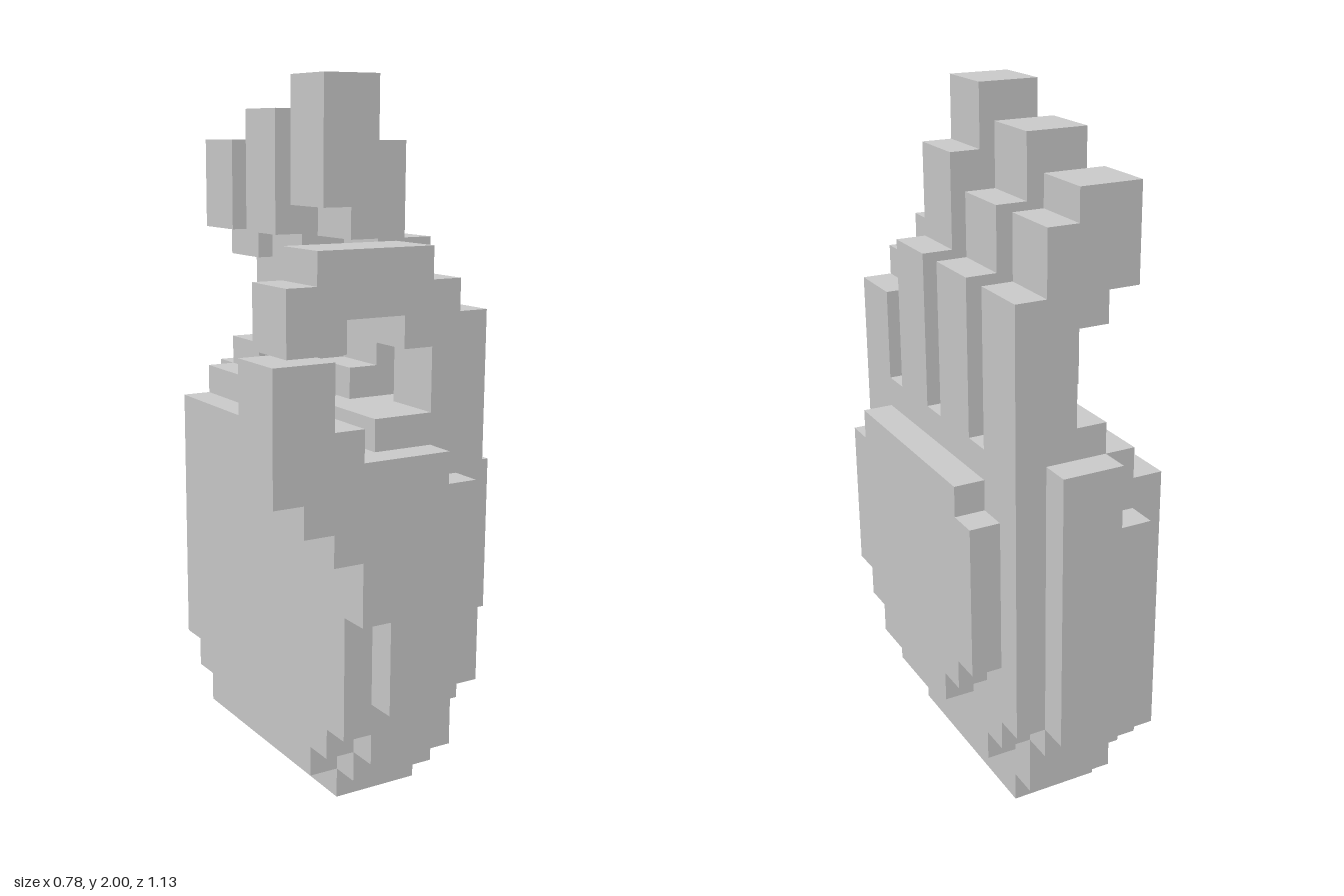
import * as THREE from 'three';

// Whole hand is laid out on a block grid: 9 wide, 23 high, 13 deep
const U = 2 / 23;
const material = new THREE.MeshStandardMaterial({ color: 0xcccccc, flatShading: true });

// Each row is [x0, x1, y0, y1, z0, z1] in grid units
function part(name, rows) {
  const group = new THREE.Group();
  group.name = name;
  rows.forEach(([x0, x1, y0, y1, z0, z1], i) => {
    const mesh = new THREE.Mesh(
      new THREE.BoxGeometry((x1 - x0) * U, (y1 - y0) * U, (z1 - z0) * U), material);
    mesh.position.set(((x0 + x1) / 2 - 4.5) * U, (y0 + y1) / 2 * U, ((z0 + z1) / 2 - 6.5) * U);
    mesh.name = `${name}Block${i + 1}`;
    group.add(mesh);
  });
  return group;
}

// Straight finger, two blocks deep, curling forward at the tip
function finger(name, z, top, knuckle, tipBottom) {
  return part(name, [
    [7, 8, 13, 18, z, z + 2],
    [6, 7, 13, knuckle, z, z + 2],
    [5, 6, tipBottom - 1, top, z, z + 2],
    [4, 5, tipBottom, top, z, z + 2],
    [5, 6, 13, 14, z, z + 2], // pad at the root
  ]);
}

export function createModel() {
  const hand = new THREE.Group();
  hand.name = 'hand';

  hand.add(
    // Palm core, tapering in steps to the wrist
    part('palm', [
      [4, 7, 0, 1, 3, 10],
      [4, 7, 1, 2, 2, 11],
      [4, 7, 2, 3, 2, 12],
      [4, 7, 3, 4, 1, 12],
      [7, 8, 2, 3, 3, 10],
      [7, 8, 3, 4, 2, 11],
      [4, 8, 4, 13, 1, 12],
    ]),
    // Raised inner face of the palm
    part('palmPad', [
      [3, 4, 1, 2, 3, 10],
      [3, 4, 2, 3, 2, 11],
      [3, 4, 3, 12, 1, 12],
    ]),
    // Raised plate on the back of the hand
    part('handBack', [
      [8, 9, 4, 5, 4, 9],
      [8, 9, 5, 6, 3, 10],
      [8, 9, 6, 11, 2, 11],
      [8, 9, 11, 12, 3, 10],
    ]),
    // Outer edge below the little finger
    part('outerEdge', [
      [5, 7, 4, 13, 0, 1],
      [4, 5, 6, 11, 0, 1],
    ]),
    // Thumb root on the front edge, then the thumb rising to meet the index finger
    part('thumbBase', [
      [4, 6, 4, 5, 12, 13],
      [4, 7, 5, 11, 12, 13],
      [4, 6, 11, 12, 12, 13],
      [3, 4, 7, 12, 12, 13],
    ]),
    part('thumb', [
      [2, 3, 9, 13, 11, 13],
      [1, 2, 10, 15, 11, 13],
      [0, 1, 11, 15, 11, 13],
    ]),
    // Index finger bent over into a ring
    part('indexFinger', [
      [7, 8, 13, 16, 10, 12],
      [6, 7, 13, 17, 10, 12],
      [5, 6, 15, 18, 10, 12],
      [3, 5, 16, 18, 10, 12],
      [2, 3, 15, 18, 10, 12],
      [1, 2, 15, 17, 10, 12],
    ]),
    finger('middleFinger', 7, 23, 21, 19),
    finger('ringFinger', 4, 22, 20, 18),
    finger('littleFinger', 1, 21, 20, 18),
  );
  return hand;
}
